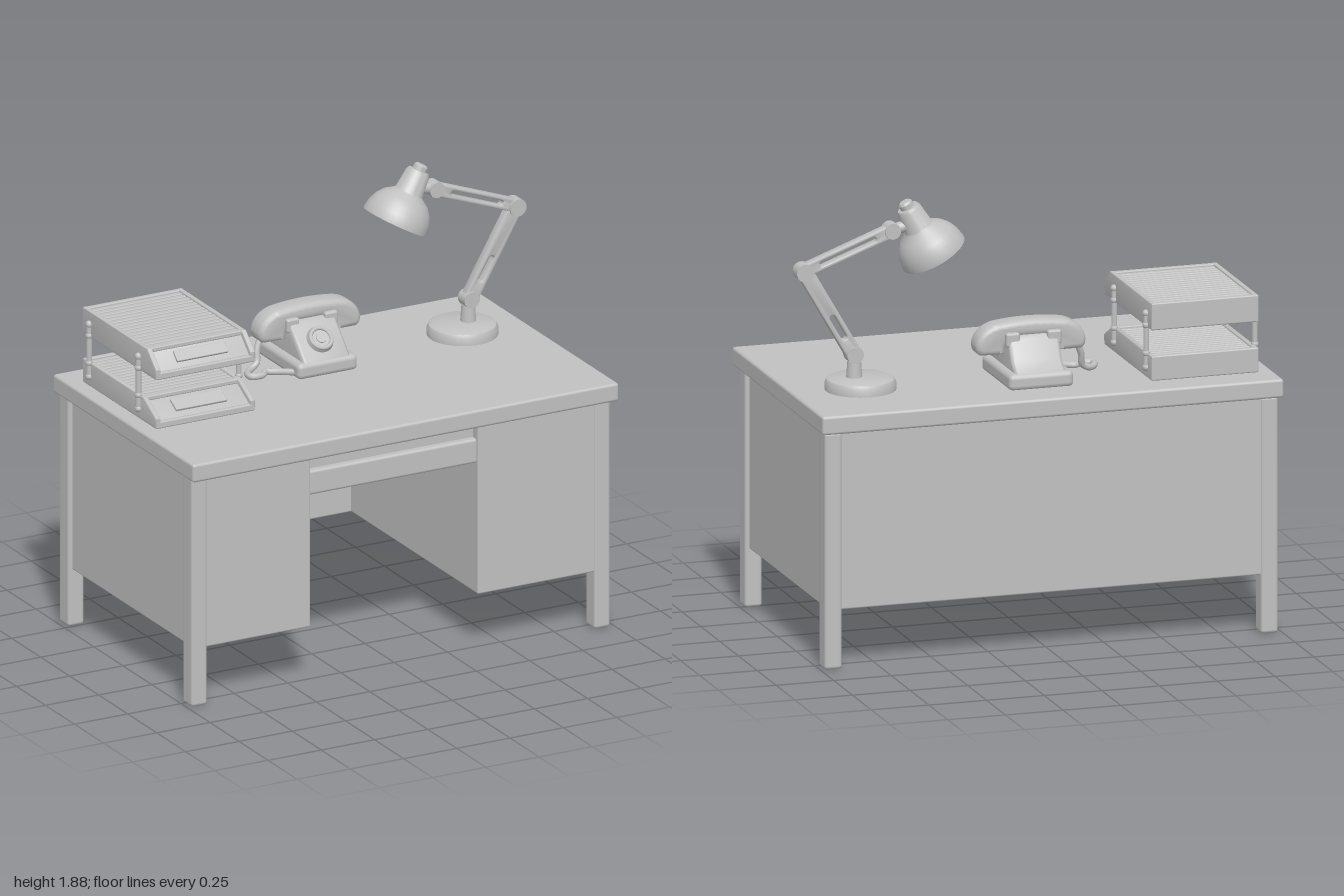
import * as THREE from 'three';
import { toCreasedNormals } from 'three/addons/utils/BufferGeometryUtils.js';
import { RoundedBoxGeometry } from 'three/addons/geometries/RoundedBoxGeometry.js';

const gray = new THREE.MeshStandardMaterial({ color: 0xc0c0c0, side: THREE.DoubleSide });
gray.name = 'plain gray';
const V = (x, y, z) => new THREE.Vector3(x, y, z);

function add(parent, name, geometry) {
  const mesh = new THREE.Mesh(geometry, gray);
  mesh.name = name;
  parent.add(mesh);
  return mesh;
}

function group(parent, name) {
  const g = new THREE.Group();
  g.name = name;
  parent.add(g);
  return g;
}

// Softened box given by its limits on each axis
function box(parent, name, [x0, x1], [y0, y1], [z0, z1], r = 0.008) {
  const m = add(parent, name, new RoundedBoxGeometry(x1 - x0, y1 - y0, z1 - z0, 2, r));
  m.position.set((x0 + x1) / 2, (y0 + y1) / 2, (z0 + z1) / 2);
  return m;
}

// Bevelled extrusion along z, centred on z = 0
function slab(shape, depth, bevel) {
  const g = new THREE.ExtrudeGeometry(shape, {
    depth: depth - 2 * bevel, curveSegments: 16,
    bevelEnabled: true, bevelSize: bevel, bevelThickness: bevel, bevelOffset: -bevel, bevelSegments: 3,
  });
  g.translate(0, 0, bevel - depth / 2);
  return toCreasedNormals(g, 0.7);
}

// Profile of [z, y] points extruded from x0 to x1
function sideProfile(parent, name, points, x0, x1, bevel) {
  const shape = new THREE.Shape(points.map(([z, y]) => new THREE.Vector2(z, y)));
  const g = slab(shape, x1 - x0, bevel);
  g.rotateY(-Math.PI / 2);
  g.translate((x0 + x1) / 2, 0, 0);
  return add(parent, name, g);
}

// Cylinder between two points
function rod(parent, name, a, b, ra, rb = ra) {
  const m = add(parent, name, new THREE.CylinderGeometry(rb, ra, a.distanceTo(b), 20));
  m.position.copy(a).lerp(b, 0.5);
  m.quaternion.setFromUnitVectors(V(0, 1, 0), b.clone().sub(a).normalize());
  return m;
}

function buildDesk(root) {
  const desk = group(root, 'desk');
  box(desk, 'deskTop', [-1, 1], [1.005, 1.085], [-0.605, 0.605], 0.012);
  box(desk, 'rightPedestal', [-0.965, -0.42], [0.25, 1.01], [-0.57, 0.553]);
  box(desk, 'leftPedestal', [0.365, 0.965], [0.25, 1.01], [-0.57, 0.553]);
  box(desk, 'backPanel', [-0.93, 0.93], [0.25, 1.01], [-0.575, -0.54]);
  // Shallow drawer below a recessed rail over the knee space
  box(desk, 'drawerRail', [-0.43, 0.375], [0.92, 1.01], [0.44, 0.51]);
  box(desk, 'centreDrawer', [-0.43, 0.375], [0.825, 0.932], [0.1, 0.54], 0.012);
  for (const [x0, x1] of [[-0.983, -0.908], [0.908, 0.983]]) {
    box(desk, 'frontLeg', [x0, x1], [0, 1.01], [0.48, 0.563], 0.014);
    box(desk, 'backLeg', [x0, x1], [0, 1.01], [-0.584, -0.5], 0.014);
  }
}

function buildTray(parent, name, y0, y1, zSlope) {
  const tray = group(parent, name);
  const x0 = -0.935, x1 = -0.47, lip = y0 + 0.045;
  const profile = (d) => [[-0.465 + d, y0], [0.15, y0], [0.167 - d, y0 + 0.015], [0.167 - d, lip - d],
    [zSlope - d, y1 - d], [-0.465 + d, y1 - d]];
  sideProfile(tray, 'trayBody', profile(0.014), x0 + 0.01, x1 - 0.01, 0.003);
  for (const x of [x0, x1 - 0.022]) sideProfile(tray, 'traySide', profile(0), x, x + 0.022, 0.005);
  box(tray, 'trayBack', [x0, x1], [y0, y1], [-0.468, -0.445], 0.006);
  box(tray, 'trayFrontEdge', [x0, x1], [y0, y0 + 0.03], [0.135, 0.167], 0.006);
  box(tray, 'traySlopeEdge', [x0, x1], [y1 - 0.02, y1], [zSlope - 0.025, zSlope], 0.005);
  // Cross slats
  const count = 16, start = -0.43, step = (zSlope - 0.04 - start) / (count - 1);
  for (let i = 0; i < count; i++) {
    const z = start + i * step;
    box(tray, 'slat', [x0 + 0.02, x1 - 0.02], [y1 - 0.02, y1 - 0.006], [z - step * 0.36, z + step * 0.36], 0.004);
  }
  // Label holder and pull on the sloping front
  const dz = 0.167 - zSlope, dy = y1 - lip;
  const holder = box(tray, 'labelHolder', [-0.82, -0.58], [0, 0.014], [0, Math.hypot(dz, dy) * 0.5], 0.004);
  holder.position.set(-0.7, (y1 + lip) / 2 - 0.01, (0.167 + zSlope) / 2 - 0.01);
  holder.rotation.x = Math.atan2(dy, dz);
}

function buildLetterTrays(root) {
  const trays = group(root, 'letterTrays');
  buildTray(trays, 'lowerTray', 1.085, 1.19, 0.055);
  buildTray(trays, 'upperTray', 1.3, 1.415, 0.09);
  for (const x of [-0.938, -0.467]) for (const z of [0.02, -0.405]) {
    rod(trays, 'trayPost', V(x, 1.13, z), V(x, 1.36, z), 0.012);
    for (const y of [1.13, 1.19, 1.31, 1.36]) {
      add(trays, 'postCollar', new THREE.SphereGeometry(0.016, 12, 8)).position.set(x, y, z);
    }
  }
}

function buildTelephone(root) {
  const phone = group(root, 'telephone');
  const cx = -0.005;
  box(phone, 'phoneBase', [-0.145, 0.135], [1.08, 1.15], [-0.44, -0.053], 0.022);
  sideProfile(phone, 'phoneBody', [[-0.06, 1.12], [-0.065, 1.15], [-0.19, 1.275], [-0.215, 1.285], [-0.31, 1.285],
    [-0.335, 1.265], [-0.37, 1.19], [-0.43, 1.145], [-0.43, 1.12]], cx - 0.11, cx + 0.11, 0.015);
  // Cradle prongs
  for (const x of [-0.095, 0.085]) box(phone, 'cradle', [x - 0.03, x + 0.03], [1.24, 1.3], [-0.335, -0.19], 0.01);
  // Dial on the slope
  const dial = group(phone, 'dial');
  dial.position.set(cx, 1.216, -0.128);
  dial.rotation.x = Math.PI / 4;
  add(dial, 'dialPlate', new THREE.CylinderGeometry(0.055, 0.062, 0.024, 32));
  const ring = add(dial, 'dialRing', new THREE.TorusGeometry(0.046, 0.009, 8, 32));
  ring.rotation.x = Math.PI / 2;
  ring.position.y = 0.012;
  add(dial, 'dialHub', new THREE.CylinderGeometry(0.022, 0.026, 0.034, 24));
  // Arched handset with a cup at each end
  const s = new THREE.Shape();
  s.moveTo(0.115, 1.205);
  s.quadraticCurveTo(0.115, 1.27, 0.06, 1.275);
  s.lineTo(-0.06, 1.275);
  s.quadraticCurveTo(-0.115, 1.27, -0.115, 1.205);
  s.lineTo(-0.215, 1.205);
  s.quadraticCurveTo(-0.24, 1.215, -0.238, 1.25);
  s.quadraticCurveTo(-0.225, 1.315, -0.15, 1.335);
  s.quadraticCurveTo(0, 1.357, 0.15, 1.335);
  s.quadraticCurveTo(0.225, 1.315, 0.238, 1.25);
  s.quadraticCurveTo(0.24, 1.215, 0.215, 1.205);
  add(phone, 'handset', slab(s, 0.105, 0.024)).position.set(-0.002, 0, -0.262);
  // Cord looping on the desk
  const cord = new THREE.CatmullRomCurve3([V(-0.215, 1.22, -0.26), V(-0.235, 1.17, -0.25), V(-0.245, 1.12, -0.235),
    V(-0.28, 1.1, -0.225), V(-0.315, 1.1, -0.185), V(-0.315, 1.1, -0.15), V(-0.27, 1.1, -0.143),
    V(-0.235, 1.1, -0.17), V(-0.2, 1.1, -0.155), V(-0.13, 1.105, -0.095)]);
  add(phone, 'cord', new THREE.TubeGeometry(cord, 60, 0.014, 10));
}

// Slotted lamp arm in the plane of z, from a to b
function lampArm(parent, name, a, b, half, slotStart, slotEnd) {
  const len = Math.hypot(b[0] - a[0], b[1] - a[1]);
  const capsule = (path, x0, x1, r) => {
    path.absarc(x1, 0, r, -Math.PI / 2, Math.PI / 2, false);
    path.absarc(x0, 0, r, Math.PI / 2, Math.PI * 1.5, false);
    path.closePath();
    return path;
  };
  const shape = capsule(new THREE.Shape(), 0, len, half);
  shape.holes.push(capsule(new THREE.Path(), len * slotStart, len * slotEnd, half * 0.38));
  const arm = add(parent, name, slab(shape, 0.042, 0.006));
  arm.position.set(a[0], a[1], 0);
  arm.rotation.z = Math.atan2(b[1] - a[1], b[0] - a[0]);
}

function buildLamp(root) {
  const lamp = group(root, 'deskLamp');
  lamp.position.z = -0.21;
  const lathe = (points) => toCreasedNormals(
    new THREE.LatheGeometry(points.map(([r, y]) => new THREE.Vector2(r, y)), 40), 0.6);
  add(lamp, 'lampBase', lathe([[0, 1.083], [0.148, 1.083], [0.148, 1.115], [0.14, 1.13], [0.125, 1.137], [0, 1.14]]))
    .position.x = 0.708;
  rod(lamp, 'lampPost', V(0.735, 1.13, 0), V(0.735, 1.24, 0), 0.034, 0.026);
  lampArm(lamp, 'lowerArm', [0.738, 1.235], [0.95, 1.6], 0.033, 0.22, 0.45);
  lampArm(lamp, 'upperArm', [0.955, 1.607], [0.58, 1.748], 0.028, 0.2, 0.8);
  for (const [x, y, r] of [[0.738, 1.235, 0.036], [0.955, 1.603, 0.038], [0.575, 1.75, 0.034]]) {
    rod(lamp, 'joint', V(x, y, -0.03), V(x, y, 0.03), r);
  }
  rod(lamp, 'headBracket', V(0.575, 1.75, 0), V(0.48, 1.77, 0), 0.024);
  // Tilted shade: open bowl, neck and cap
  const head = group(lamp, 'lampHead');
  head.position.set(0.39, 1.635, 0);
  head.rotation.z = -Math.atan2(0.133, 0.24);
  add(head, 'shade', lathe([[0.132, 0.004], [0.143, 0], [0.143, 0.012], [0.137, 0.045], [0.122, 0.08], [0.098, 0.11],
    [0.066, 0.132], [0.06, 0.14], [0.052, 0.222], [0.044, 0.236], [0, 0.24]]));
  add(head, 'shadeLining', lathe([[0.132, 0.004], [0.126, 0.045], [0.11, 0.078], [0.086, 0.105], [0.05, 0.122], [0, 0.124]]));
  add(head, 'cap', lathe([[0.03, 0.235], [0.03, 0.256], [0.022, 0.264], [0, 0.266]]));
  add(head, 'bulb', new THREE.SphereGeometry(0.045, 20, 14)).position.y = 0.085;
}

export function createModel() {
  const model = new THREE.Group();
  model.name = 'officeDesk';
  buildDesk(model);
  buildLetterTrays(model);
  buildTelephone(model);
  buildLamp(model);
  return model;
}
